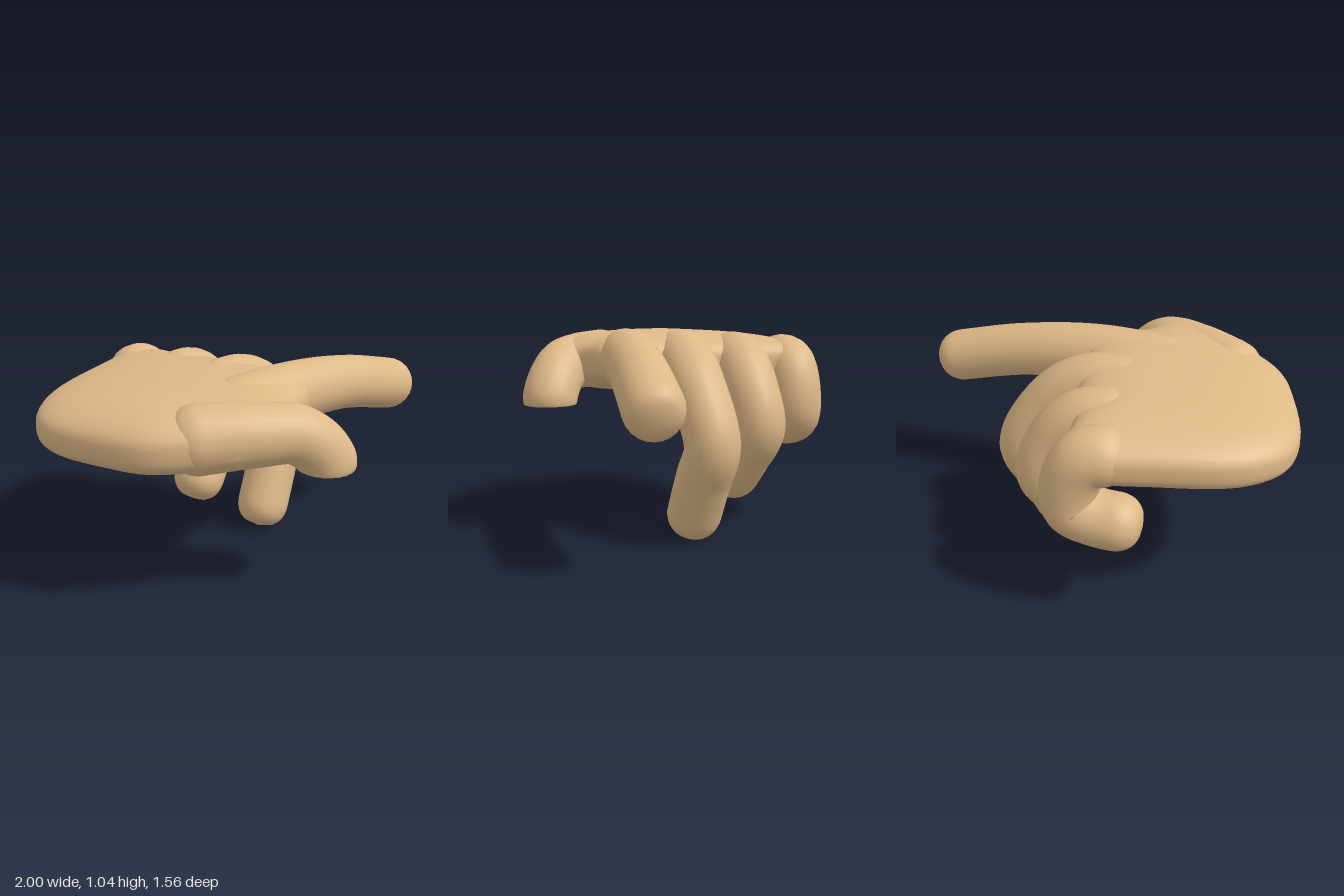
import * as THREE from 'three';
import { mergeVertices } from 'three/addons/utils/BufferGeometryUtils.js';

const skin = new THREE.MeshStandardMaterial({ color: 0xdeb887 });

// Weld seams so the normals run smoothly all round
function smoothMesh(geometry, name) {
  geometry.deleteAttribute('uv');
  geometry.deleteAttribute('normal');
  const welded = mergeVertices(geometry, 1e-4);
  welded.computeVertexNormals();
  const mesh = new THREE.Mesh(welded, skin);
  mesh.name = name;
  return mesh;
}

// Round-ended sweep along a path, with radius going from r0 at the root to r1 at the tip
function digit(name, path, r0, r1, floor = -1) {
  const curve = new THREE.CatmullRomCurve3(path.map(p => new THREE.Vector3(...p)));
  const segs = 72, sides = 24, length = curve.getLength();
  const geo = new THREE.TubeGeometry(curve, segs, 1, sides, false);
  const pos = geo.attributes.position, v = new THREE.Vector3();
  for (let j = 0; j <= segs; j++) {
    const u = j / segs, c = curve.getPointAt(u);
    const base = THREE.MathUtils.lerp(r0, r1, Math.min(1, u * 1.6));
    const d = Math.max(0, 1 - Math.min(u, 1 - u) * length / base);
    const r = base * Math.pow(Math.max(0, 1 - Math.pow(d, 2.3)), 1 / 2.3);
    for (let i = 0; i <= sides; i++) {
      const k = j * (sides + 1) + i;
      v.fromBufferAttribute(pos, k).sub(c).multiplyScalar(r).add(c);
      pos.setXYZ(k, v.x, Math.max(v.y, floor), v.z);
    }
  }
  return smoothMesh(geo, name);
}

// Pillow-shaped palm: a sphere stretched onto an outline, with sloping top and underside
function palm() {
  const outline = new THREE.CatmullRomCurve3([
    [-1, -0.2], [-0.94, 0.08], [-0.85, 0.3], [-0.68, 0.45], [-0.4, 0.61], [-0.2, 0.6],
    [-0.09, 0.47], [0.1, 0.38], [0.14, 0.2], [0.1, 0], [0.07, -0.2], [0.03, -0.35],
    [0, -0.5], [-0.02, -0.66], [-0.12, -0.735], [-0.45, -0.66], [-0.8, -0.53], [-0.96, -0.37],
  ].map(([x, z]) => new THREE.Vector3(x, 0, z)), true);
  const centre = new THREE.Vector3(-0.4, 0, -0.08);
  const around = 72, rings = 36, power = 2 / 3;
  const geo = new THREE.SphereGeometry(1, around, rings);
  const pos = geo.attributes.position;
  for (let j = 0; j <= rings; j++) {
    const a = Math.PI * j / rings;
    const spread = j % rings ? Math.pow(Math.sin(a), power) : 0;
    const rise = Math.sign(Math.cos(a)) * Math.pow(Math.abs(Math.cos(a)), power);
    for (let i = 0; i <= around; i++) {
      const p = outline.getPoint((i % around) / around).sub(centre).multiplyScalar(spread).add(centre);
      const top = 1.02 - 0.06 * p.x * p.x - 0.05 * Math.max(0, -p.z);
      const bottom = 0.695 + 0.05 * p.x;
      pos.setXYZ(j * (around + 1) + i, p.x, (top + bottom) / 2 + rise * (top - bottom) / 2, p.z);
    }
  }
  return smoothMesh(geo, 'palm');
}

export function createModel() {
  const hand = new THREE.Group();
  hand.name = 'pointingHand';
  hand.add(
    palm(),
    digit('indexFinger', [[-0.4, 0.85, 0.22], [0.1, 0.87, 0.25], [0.5, 0.83, 0.255],
      [0.8, 0.757, 0.255], [1, 0.7, 0.255]], 0.165, 0.138),
    digit('middleFinger', [[-0.25, 0.86, -0.02], [0.06, 0.855, -0.035], [0.24, 0.74, -0.06],
      [0.385, 0.48, -0.105], [0.31, 0.3, -0.075], [0.17, 0.005, -0.035]], 0.155, 0.137),
    digit('ringFinger', [[-0.25, 0.85, -0.3], [-0.02, 0.845, -0.335], [0.12, 0.72, -0.36],
      [0.18, 0.53, -0.385], [0.09, 0.39, -0.345], [-0.09, 0.175, -0.28]], 0.15, 0.136),
    digit('littleFinger', [[-0.3, 0.83, -0.57], [-0.12, 0.83, -0.625], [-0.05, 0.72, -0.64],
      [-0.05, 0.57, -0.645], [-0.16, 0.525, -0.64], [-0.385, 0.515, -0.63]], 0.145, 0.137),
    digit('thumb', [[-0.7, 0.83, 0.25], [-0.38, 0.84, 0.47], [-0.2, 0.82, 0.57],
      [-0.09, 0.72, 0.63], [-0.03, 0.56, 0.66]], 0.17, 0.138, 0.645),
  );
  return hand;
}
